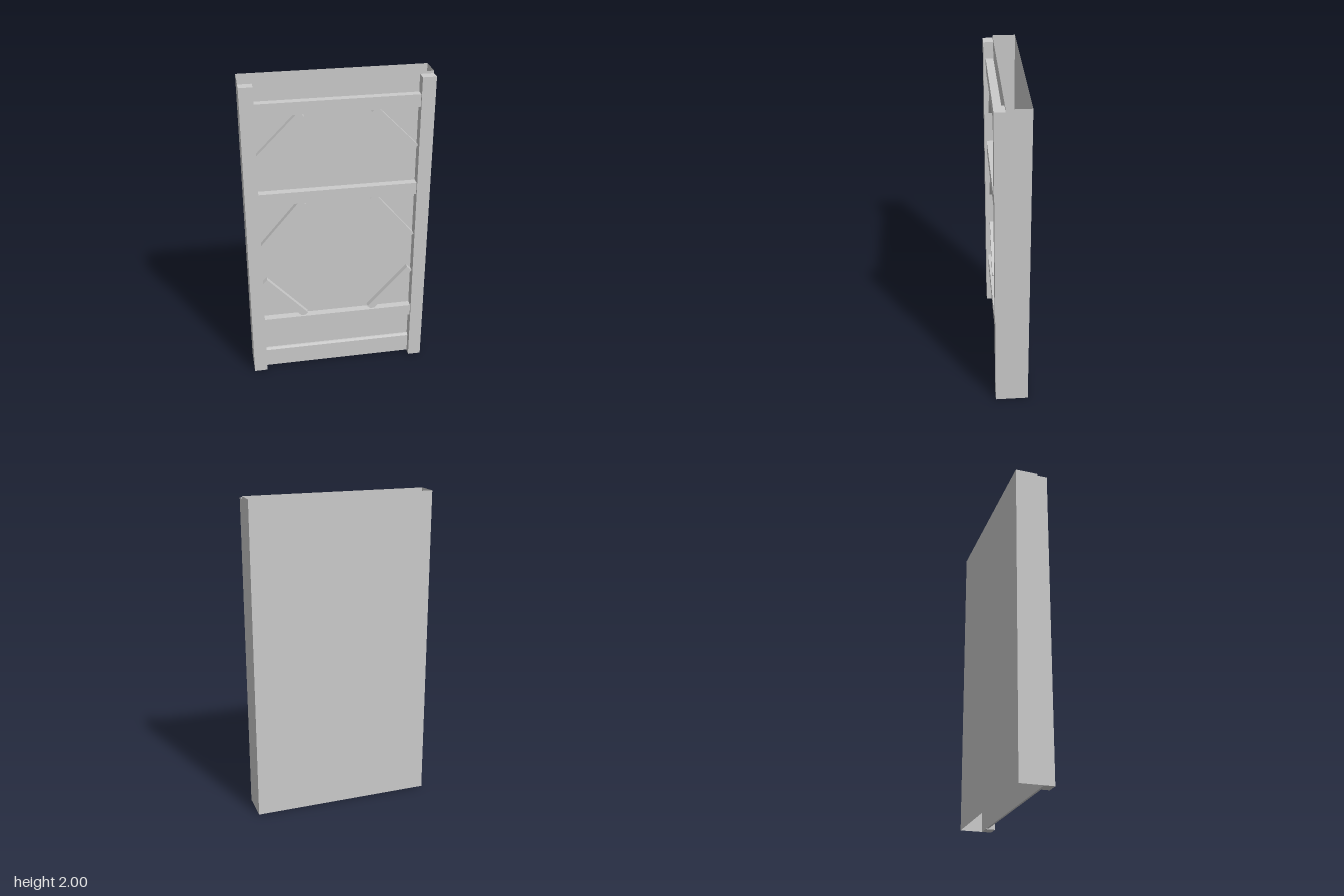
import * as THREE from 'three';

const BACK = 0.04; // plane of the front sheet, on which all the timbers sit
const REAR = -0.102; // plane of the back sheet

export function createModel() {
  const model = new THREE.Group();
  const wood = new THREE.MeshStandardMaterial({ color: 0xcccccc });
  const sheet = new THREE.MeshStandardMaterial({ color: 0xcccccc, side: THREE.DoubleSide });

  const add = (name, geometry, material) => {
    const mesh = new THREE.Mesh(geometry, material);
    mesh.name = name;
    model.add(mesh);
    return mesh;
  };

  // timber with its rear face on the BACK plane
  const timber = (name, w, h, d, x, y) => {
    const mesh = add(name, new THREE.BoxGeometry(w, h, d), wood);
    mesh.position.set(x, y, BACK + d / 2);
    return mesh;
  };

  // thin four-sided sleeve, open at top and bottom
  add('frontPanel', new THREE.PlaneGeometry(1.14, 2), sheet).position.set(0, 1, BACK);
  add('backPanel', new THREE.PlaneGeometry(1.14, 2).rotateY(Math.PI), sheet).position.set(0, 1, REAR);

  for (const side of [-1, 1]) {
    const label = side > 0 ? 'left' : 'right';
    add(label + 'SidePanel', new THREE.PlaneGeometry(BACK - REAR, 2).rotateY(side * Math.PI / 2), sheet)
      .position.set(side * 0.57, 1, (BACK + REAR) / 2);

    // upright post
    timber(label + 'Post', 0.083, 1.985, 0.062, side * 0.5285, 0.9925);

    // diagonal braces running into the rails: [outer y, inner y]
    const braces = [[1.537, 1.798], [0.928, 1.23], [0.68, 0.4]];
    braces.forEach(([y0, y1], i) => {
      const dx = side * (0.216 - 0.473), dy = y1 - y0;
      const brace = timber(label + 'Brace' + (i + 1), Math.hypot(dx, dy), 0.044, 0.035,
        side * 0.3445, (y0 + y1) / 2);
      brace.rotation.z = Math.atan2(dy, dx);
    });
  }

  // horizontal rails
  [1.84, 1.269, 0.36].forEach((y, i) => timber('rail' + (i + 1), 0.974, 0.077, 0.048, 0, y));

  // baseboard with a bevelled top edge, profile drawn in (z, y)
  const profile = new THREE.Shape([
    [0.04, 0.006], [0.06, 0.006], [0.06, 0.13], [0.05, 0.142], [0.04, 0.142],
  ].map(([z, y]) => new THREE.Vector2(-z, y)));
  const board = new THREE.ExtrudeGeometry(profile, { depth: 0.974, bevelEnabled: false });
  board.translate(0, 0, -0.487).rotateY(Math.PI / 2);
  add('baseboard', board, wood);

  return model;
}
